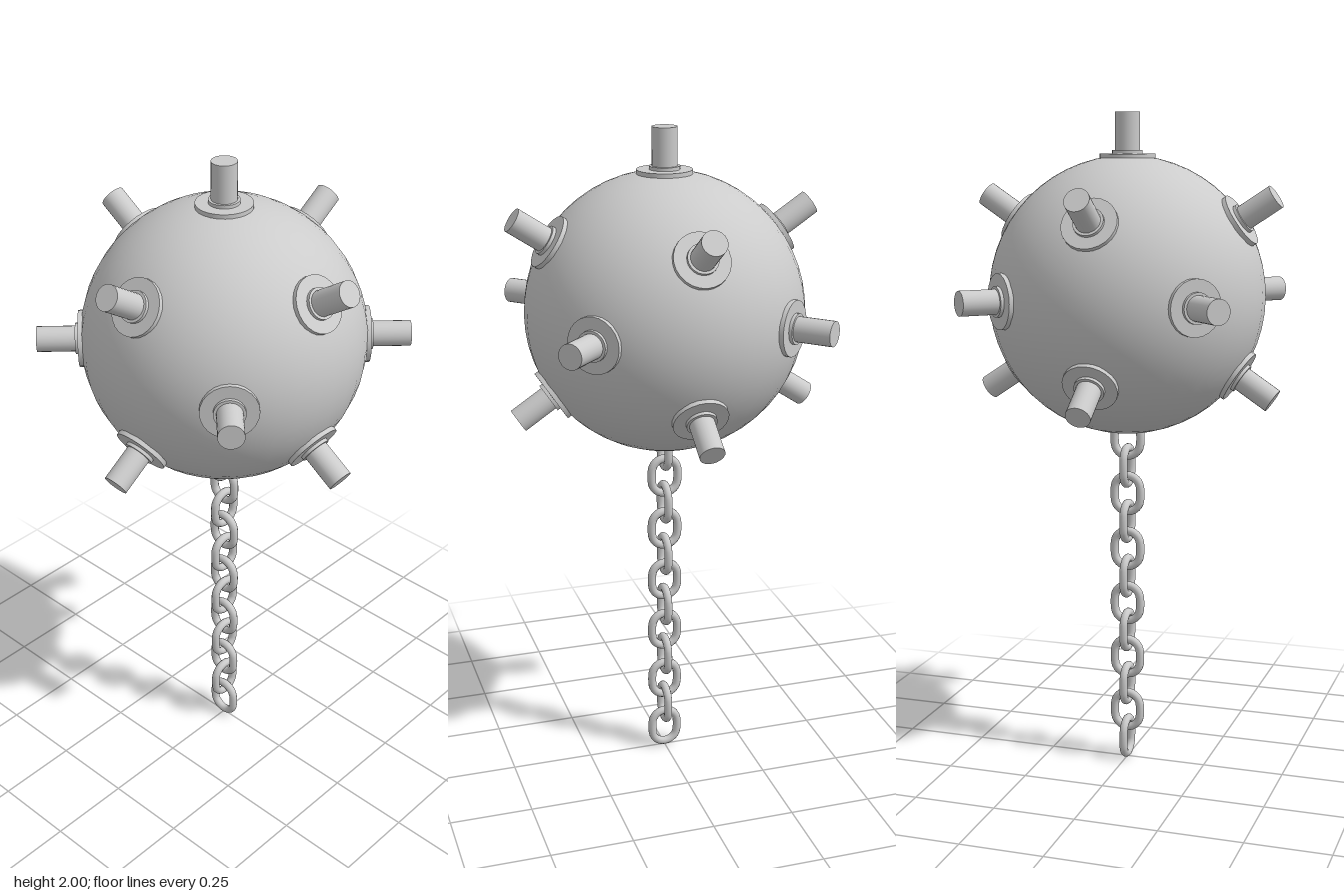
import * as THREE from 'three';

const CENTER_Y = 1.461;
const BALL_R = 0.414;
const TIP = 0.539;          // distance from ball centre to horn tip
const RING_TILT = 0.585;    // elevation of the upper and lower horn rings
const LINKS = 12, PITCH = 0.0872, LINK_HALF = 0.069, WIRE = 0.0128;

export function createModel() {
  const model = new THREE.Group();
  model.name = 'spikedBallOnChain';
  const material = new THREE.MeshStandardMaterial({ color: 0xcccccc });

  const add = (parent, geometry, name) => {
    const mesh = new THREE.Mesh(geometry, material);
    mesh.name = name;
    parent.add(mesh);
    return mesh;
  };

  // Ball
  add(model, new THREE.SphereGeometry(BALL_R, 40, 28), 'ball').position.y = CENTER_Y;

  // Horn parts, all running outward along +y from the ball centre
  const cylinder = (radius, from, to) =>
    new THREE.CylinderGeometry(radius, radius, to - from, 24).translate(0, (from + to) / 2, 0);
  const flange = cylinder(0.082, 0.395, 0.418);
  const collar = cylinder(0.045, 0.4, 0.428);
  const rod = cylinder(0.037, 0.4, TIP);

  const up = new THREE.Vector3(0, 1, 0);
  const addHorn = (elevation, azimuth) => {
    const horn = new THREE.Group();
    horn.name = 'horn';
    add(horn, flange, 'hornFlange');
    add(horn, collar, 'hornCollar');
    add(horn, rod, 'hornRod');
    const dir = new THREE.Vector3(
      Math.cos(elevation) * Math.sin(azimuth),
      Math.sin(elevation),
      Math.cos(elevation) * Math.cos(azimuth));
    horn.quaternion.setFromUnitVectors(up, dir);
    horn.position.y = CENTER_Y;
    model.add(horn);
  };

  // One horn on top, then upper, middle (turned 45 degrees) and lower rings
  addHorn(Math.PI / 2, 0);
  for (let i = 0; i < 4; i++) {
    const a = i * Math.PI / 2;
    addHorn(RING_TILT, a);
    addHorn(0, a + Math.PI / 4);
    addHorn(-RING_TILT, a);
  }

  // Chain link: a wire bent round an oval with two straight sides
  const bend = 0.041;
  const straight = LINK_HALF - WIRE - bend;
  const path = [];
  for (const end of [0, 1]) {
    for (let i = 0; i <= 8; i++) {
      const a = (end + i / 8) * Math.PI;
      path.push(new THREE.Vector3(
        bend * Math.cos(a), bend * Math.sin(a) + (end ? -straight : straight), 0));
    }
  }
  const link = new THREE.TubeGeometry(
    new THREE.CatmullRomCurve3(path, true), 40, WIRE, 10, true);

  // Chain hanging below the ball, every other link turned a quarter
  const chain = new THREE.Group();
  chain.name = 'chain';
  for (let i = 0; i < LINKS; i++) {
    const mesh = add(chain, link, 'chainLink');
    mesh.position.y = LINK_HALF + i * PITCH;
    mesh.rotation.y = i % 2 ? 0 : Math.PI / 2;
  }
  model.add(chain);

  return model;
}
